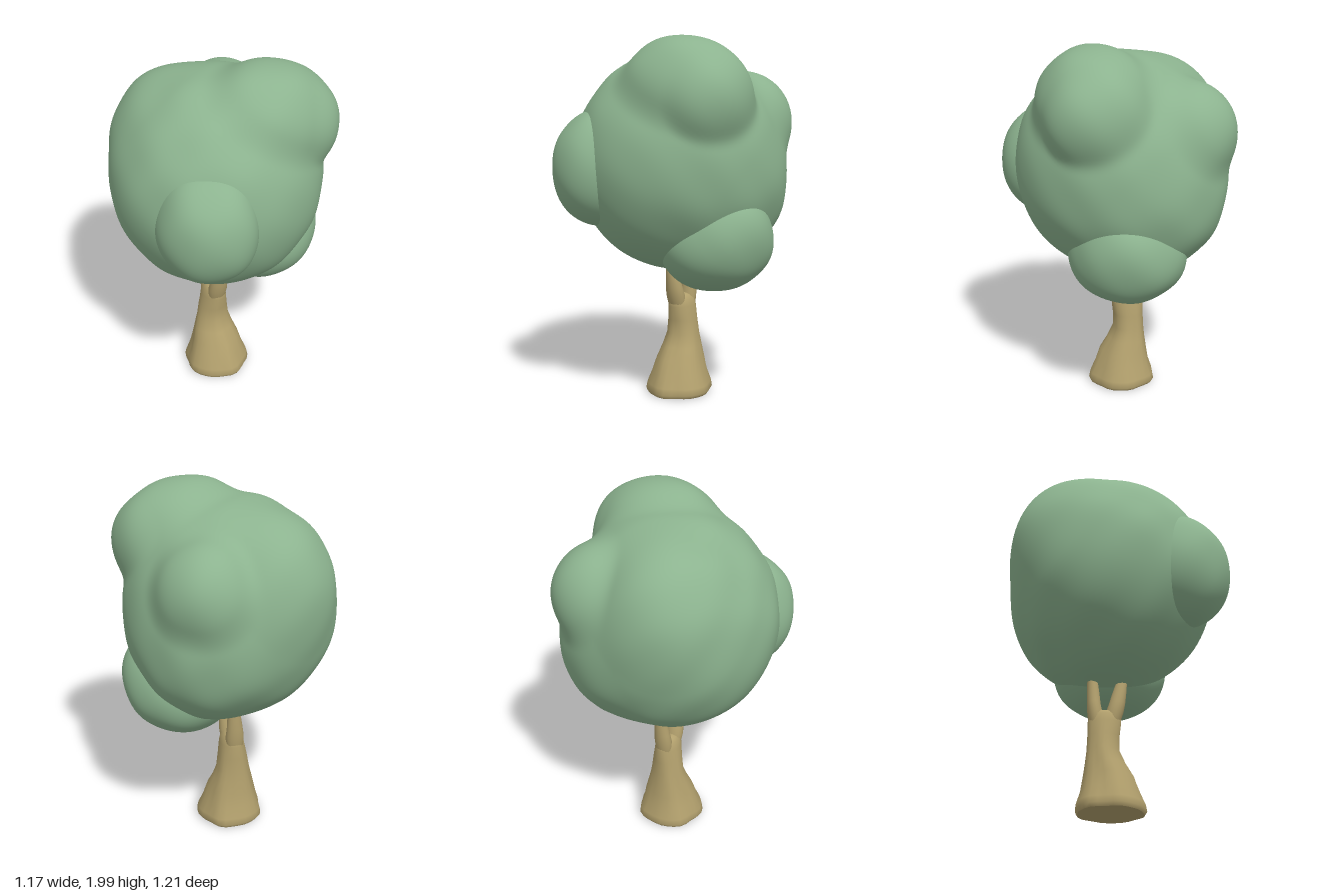
import * as THREE from 'three';
import { mergeVertices } from 'three/addons/utils/BufferGeometryUtils.js';

const leafMat = new THREE.MeshStandardMaterial({ color: 0x8cb38f });
const barkMat = new THREE.MeshStandardMaterial({ color: 0xb2a06d });

// Approximate distance from a point to softly merged ellipsoid lobes
function lobeDistance(p, lobes) {
  const blend = 0.05;
  const q = new THREE.Vector3();
  let d = Infinity;
  for (const { c, r } of lobes) {
    q.copy(p).sub(c).divide(r);
    const k0 = q.length();
    const k1 = q.divide(r).length();
    const e = k0 * (k0 - 1) / Math.max(k1, 1e-6);
    const h = Math.max(blend - Math.abs(d - e), 0) / blend;
    d = Math.min(d, e) - h * h * blend / 4;
  }
  return d;
}

// Shrink a sphere onto merged lobes [centre, radii], then add a faint lumpiness
function foliage(name, middle, detail, lobeList) {
  const lobes = lobeList.map(([c, r]) => ({ c: new THREE.Vector3(...c), r: new THREE.Vector3(...r) }));
  let geo = new THREE.IcosahedronGeometry(1, detail);
  geo.deleteAttribute('uv');
  geo.deleteAttribute('normal');
  geo = mergeVertices(geo, 1e-4);
  const pos = geo.attributes.position;
  const center = new THREE.Vector3(...middle);
  const dir = new THREE.Vector3(), p = new THREE.Vector3();
  for (let i = 0; i < pos.count; i++) {
    dir.fromBufferAttribute(pos, i);
    let r = 1;
    for (let step = 0; step < 45; step++) {
      p.copy(center).addScaledVector(dir, r);
      r -= 0.7 * lobeDistance(p, lobes);
    }
    r += 0.006 * Math.sin(13 * p.x + 4 * p.y) * Math.sin(12 * p.y - 5 * p.z + 1) * Math.sin(14 * p.z + 3 * p.x + 2);
    p.copy(center).addScaledVector(dir, r);
    pos.setXYZ(i, p.x, p.y, p.z);
  }
  geo.computeVertexNormals();
  const mesh = new THREE.Mesh(geo, leafMat);
  mesh.name = name;
  return mesh;
}

// Loft through oval sections [y, centreX, centreZ, radiusX, radiusZ, ripple], closed at both ends
function loft(name, sections, sides = 28) {
  const verts = [], index = [];
  sections.forEach(([y, cx, cz, rx, rz, ripple = 0]) => {
    for (let i = 0; i < sides; i++) {
      const a = (i / sides) * Math.PI * 2;
      const r = 1 + ripple * (Math.sin(5 * a + 1 + 6 * y) + 0.6 * Math.sin(8 * a + 10 * y));
      verts.push(cx + Math.sin(a) * rx * r, y, cz + Math.cos(a) * rz * r);
    }
  });
  for (let s = 0; s < sections.length - 1; s++) {
    for (let i = 0; i < sides; i++) {
      const j = (i + 1) % sides;
      const a = s * sides + i, b = s * sides + j;
      index.push(a, b, b + sides, a, b + sides, a + sides);
    }
  }
  // End caps use their own vertices so the rims stay crisp
  for (const [s, up] of [[0, false], [sections.length - 1, true]]) {
    const start = verts.length / 3;
    verts.push(...verts.slice(s * sides * 3, (s + 1) * sides * 3));
    const [y, cx, cz] = sections[s];
    verts.push(cx, y, cz);
    for (let i = 0; i < sides; i++) {
      const a = start + i, b = start + (i + 1) % sides;
      index.push(start + sides, up ? a : b, up ? b : a);
    }
  }
  const geo = new THREE.BufferGeometry();
  geo.setAttribute('position', new THREE.Float32BufferAttribute(verts, 3));
  geo.setIndex(index);
  geo.computeVertexNormals();
  const mesh = new THREE.Mesh(geo, barkMat);
  mesh.name = name;
  return mesh;
}

export function createModel() {
  const tree = new THREE.Group();
  tree.name = 'tree';

  // Flared trunk
  tree.add(loft('trunk', [
    [0.005, -0.015, -0.024, 0.172, 0.174, 0.03],
    [0.025, -0.013, -0.025, 0.186, 0.186, 0.03],
    [0.06, -0.013, -0.026, 0.179, 0.179, 0.03],
    [0.12, -0.015, -0.030, 0.156, 0.154, 0.035],
    [0.20, -0.015, -0.038, 0.134, 0.132, 0.035],
    [0.27, -0.018, -0.055, 0.112, 0.105, 0.035],
    [0.34, -0.018, -0.066, 0.093, 0.086, 0.025],
    [0.42, -0.017, -0.063, 0.081, 0.085, 0.02],
    [0.50, -0.015, -0.057, 0.068, 0.090, 0.01],
    [0.54, -0.016, -0.055, 0.058, 0.083],
    [0.56, -0.017, -0.055, 0.040, 0.055],
    [0.568, -0.017, -0.055, 0.020, 0.030],
  ]));

  // Forked limbs that run up into the crown
  tree.add(loft('frontLimb', [
    [0.42, -0.017, -0.040, 0.035, 0.030],
    [0.50, -0.017, -0.016, 0.050, 0.042],
    [0.56, -0.017, -0.003, 0.056, 0.047],
    [0.61, -0.017, 0.010, 0.050, 0.044],
    [0.67, -0.018, 0.022, 0.040, 0.038],
    [0.73, -0.020, 0.034, 0.026, 0.030],
    [0.80, -0.020, 0.045, 0.016, 0.020],
  ], 18));
  tree.add(loft('backLimb', [
    [0.42, -0.017, -0.095, 0.035, 0.030],
    [0.50, -0.017, -0.103, 0.050, 0.040],
    [0.56, -0.016, -0.109, 0.052, 0.041],
    [0.61, -0.014, -0.115, 0.046, 0.037],
    [0.67, -0.010, -0.118, 0.040, 0.034],
    [0.78, -0.005, -0.125, 0.032, 0.026],
  ], 18));

  // Main crown with its back shoulder, lower right side, top and back swellings
  tree.add(foliage('crown', [0, 1.35, 0], 30, [
    [[-0.015, 1.325, -0.02], [0.575, 0.605, 0.57]],
    [[-0.13, 1.46, -0.20], [0.38, 0.43, 0.39]],
    [[0.12, 1.22, -0.11], [0.43, 0.47, 0.46]],
    [[0.17, 1.68, 0.15], [0.37, 0.318, 0.31]],
    [[0.36, 1.65, 0.17], [0.20, 0.24, 0.255]],
    [[0.205, 1.52, -0.32], [0.27, 0.29, 0.275]],
  ]));

  // Separate clumps at the front and below
  tree.add(foliage('frontClump', [-0.26, 1.29, 0.34], 18, [
    [[-0.30, 1.29, 0.325], [0.23, 0.31, 0.26]],
    [[-0.23, 1.29, 0.365], [0.20, 0.305, 0.245]],
  ]));
  tree.add(foliage('lowerClump', [0.29, 0.92, 0], 18, [
    [[0.255, 0.905, -0.01], [0.315, 0.275, 0.32]],
    [[0.365, 0.975, 0.01], [0.21, 0.21, 0.23]],
  ]));
  return tree;
}
